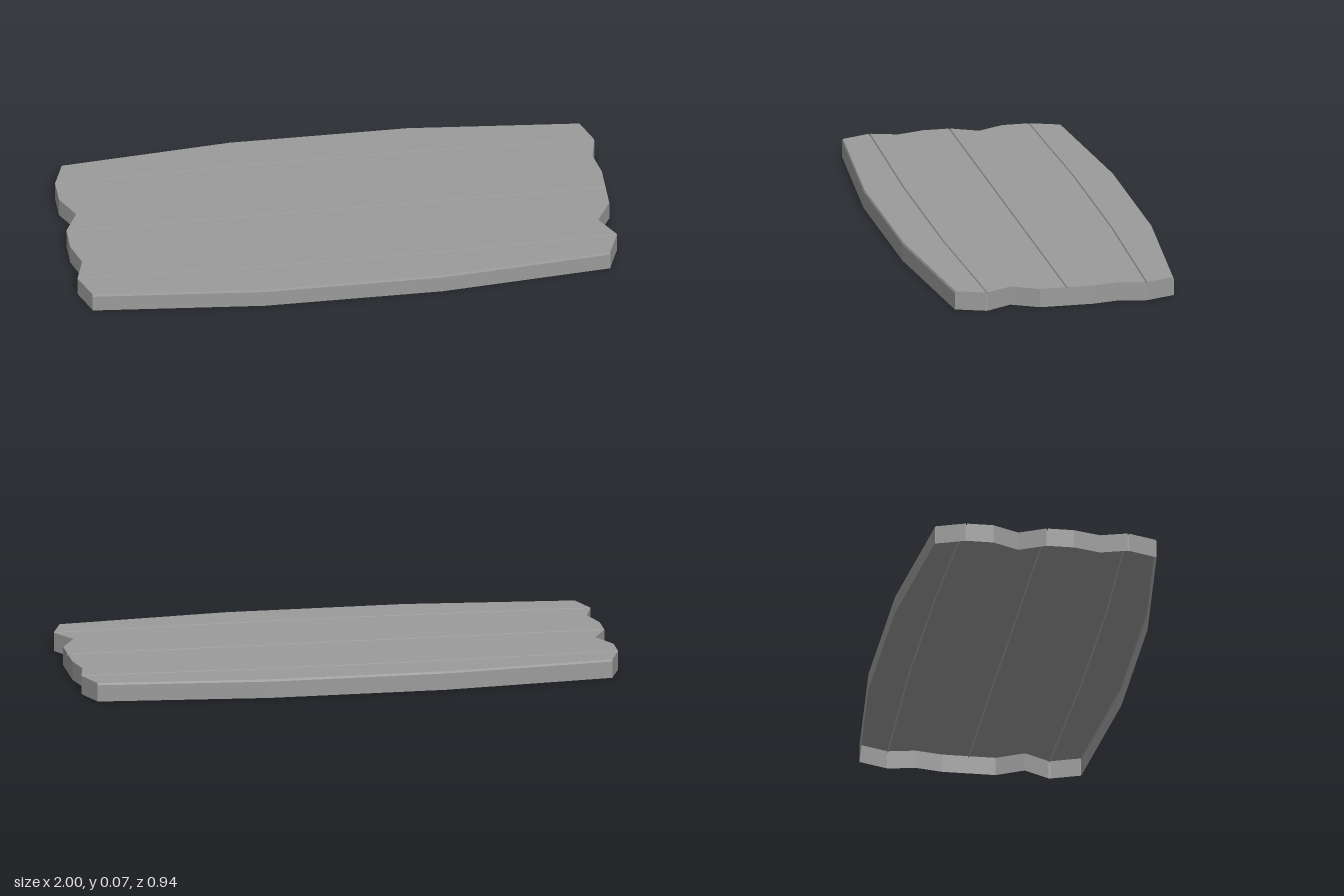
import * as THREE from 'three';

const HEIGHT = 0.07, BEVEL_Y = 0.062, BEVEL = 0.003, GROOVE = 0.003, MID_X = 0.33;

const material = new THREE.MeshStandardMaterial({
  color: 0x9b9b9b, flatShading: true, side: THREE.DoubleSide,
});

// Cross-section stations from back to front: z at the ends, z in the middle, left x, right x
const stations = [
  { z: -0.412, mid: -0.47, x: [-0.96, 0.96], edge: true },
  { z: -0.30, mid: -0.32, x: [-1, 1], groove: true },
  { z: -0.20, mid: -0.20, x: [-1, 0.98] },
  { z: -0.10, mid: -0.10, x: [-0.95, 1] },
  { z: 0, mid: 0, x: [-1, 1], groove: true },
  { z: 0.10, mid: 0.10, x: [-1, 1] },
  { z: 0.20, mid: 0.20, x: [-0.97, 0.945] },
  { z: 0.30, mid: 0.32, x: [-1, 1], groove: true },
  { z: 0.412, mid: 0.47, x: [-0.96, 0.96], edge: true },
];

// One row of four points across the board
function row({ z, mid, x }, dz, y) {
  return [[x[0], y, z + dz], [-MID_X, y, mid + dz], [MID_X, y, mid + dz], [x[1], y, z + dz]];
}

// Expand stations into rows, adding V-grooves and bevelled long edges
function deckRows() {
  const rows = [];
  for (const s of stations) {
    if (s.groove) {
      rows.push(row(s, -GROOVE, HEIGHT), row(s, 0, HEIGHT - 0.008), row(s, GROOVE, HEIGHT));
    } else if (s.edge) {
      const pair = [row(s, 0, BEVEL_Y), row(s, -Math.sign(s.z) * BEVEL, HEIGHT)];
      rows.push(...(s.z < 0 ? pair : pair.reverse()));
    } else {
      rows.push(row(s, 0, HEIGHT));
    }
  }
  return rows;
}

// Sheet of quads through successive rows of points
function sheet(name, rows) {
  const pos = [];
  for (let i = 0; i < rows.length - 1; i++) {
    for (let j = 0; j < rows[i].length - 1; j++) {
      const a = rows[i][j], b = rows[i + 1][j], c = rows[i + 1][j + 1], d = rows[i][j + 1];
      pos.push(...a, ...b, ...c, ...a, ...c, ...d);
    }
  }
  const geometry = new THREE.BufferGeometry();
  geometry.setAttribute('position', new THREE.Float32BufferAttribute(pos, 3));
  geometry.computeVertexNormals();
  const mesh = new THREE.Mesh(geometry, material);
  mesh.name = name;
  return mesh;
}

const drop = ([x, , z]) => [x, 0, z];

export function createModel() {
  const group = new THREE.Group();
  group.name = 'plankBoard';
  const rows = deckRows();
  const back = rows[0], front = rows[rows.length - 1];

  // Grooved planks on top, open underneath
  group.add(sheet('plankTop', rows));

  // Long side walls
  group.add(sheet('backWall', [back.map(drop), back]));
  group.add(sheet('frontWall', [front, front.map(drop)]));

  // Jagged broken ends, on the -x and +x sides
  group.add(sheet('rightEnd', rows.map((r) => [drop(r[0]), r[0]])));
  group.add(sheet('leftEnd', rows.map((r) => [r[3], drop(r[3])])));

  return group;
}
